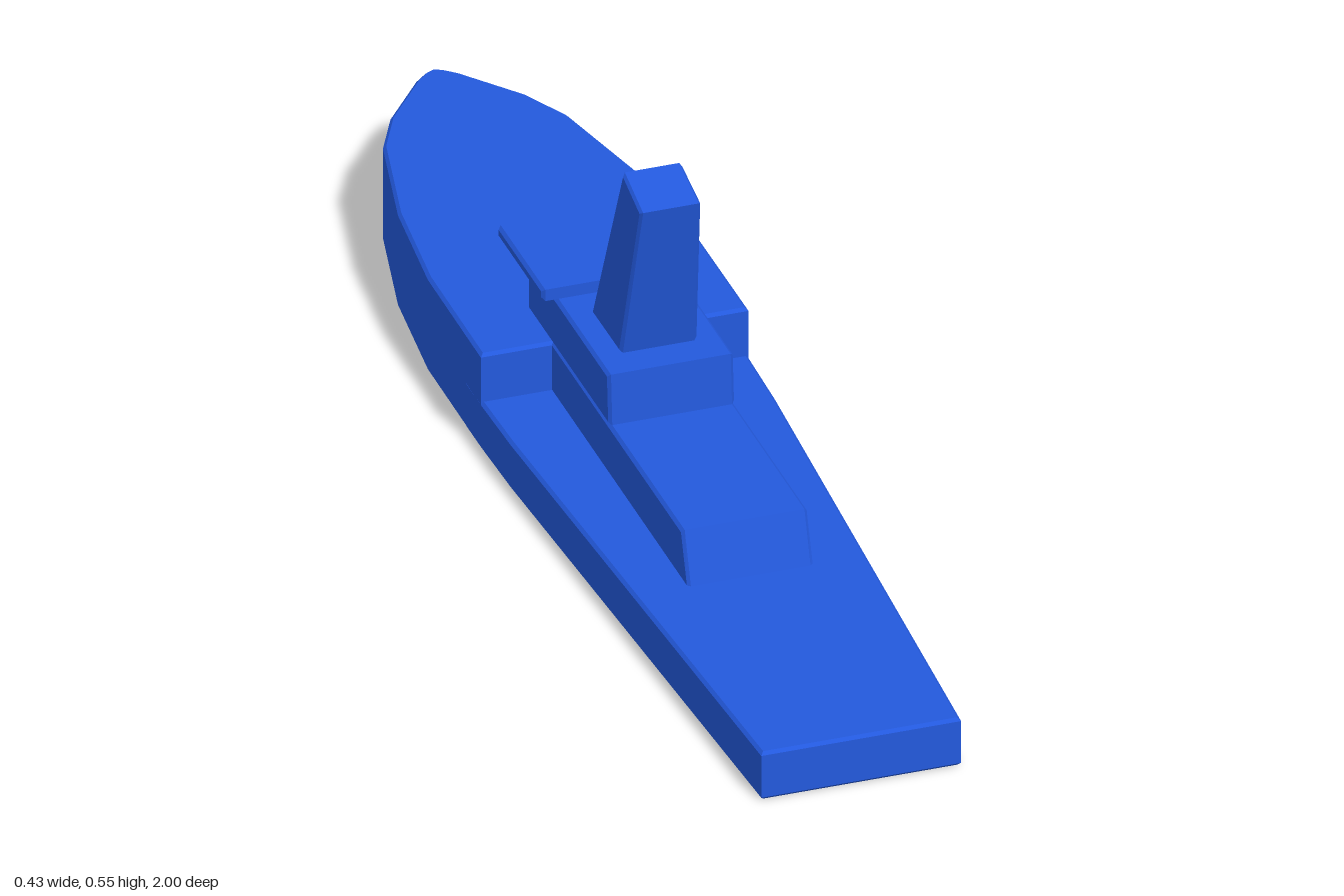
import * as THREE from 'three';
import { toCreasedNormals } from 'three/addons/utils/BufferGeometryUtils.js';

const BEVEL = 0.005;

// Solid with slightly chamfered edges, whose outer size matches the outline and depth
function slab(points, depth) {
  const shape = new THREE.Shape(points.map(([a, b]) => new THREE.Vector2(a, b)));
  const geo = new THREE.ExtrudeGeometry(shape, {
    depth: depth - 2 * BEVEL, bevelEnabled: true, bevelSegments: 1,
    bevelSize: BEVEL, bevelThickness: BEVEL, bevelOffset: -BEVEL,
  });
  return geo.translate(0, 0, BEVEL);
}

// Deck plan given as [half width, z] from bow to stern, mirrored and raised upwards
function deckPlan(half, height) {
  const right = half.map(([x, z]) => [x, -z]);
  const left = half.filter(([x]) => x > 0).map(([x, z]) => [-x, -z]).reverse();
  const geo = slab([...right, ...left], height).rotateX(-Math.PI / 2);
  return toCreasedNormals(geo, 0.5);
}

// Side profile given as [z, y], extruded symmetrically across x
function sideProfile(points, width) {
  return slab(points, width).translate(0, 0, -width / 2).rotateY(-Math.PI / 2);
}

export function createModel() {
  const group = new THREE.Group();
  const hullBlue = new THREE.MeshStandardMaterial({ color: 0x2359dd });
  hullBlue.name = 'hullBlue';

  const add = (name, geometry) => {
    const mesh = new THREE.Mesh(geometry, hullBlue);
    mesh.name = name;
    group.add(mesh);
  };

  // Tall bow section with raised foredeck
  add('bowHull', deckPlan([
    [0, -1], [0.015, -0.993], [0.035, -0.975], [0.11, -0.88], [0.15, -0.8],
    [0.195, -0.6], [0.216, -0.4], [0.217, -0.15],
  ], 0.168));

  // Low aft section narrowing to a square stern
  add('aftHull', deckPlan([
    [0.217, -0.22], [0.217, -0.15], [0.214, -0.02], [0.162, 1],
  ], 0.084));

  // Superstructure
  add('deckhouse', sideProfile([
    [-0.16, 0.08], [0.486, 0.08], [0.456, 0.168], [-0.16, 0.168],
  ], 0.204));
  add('bridge', sideProfile([
    [-0.262, 0.167], [0.118, 0.167], [0.112, 0.254], [-0.262, 0.254],
  ], 0.204));
  add('bridgeRoof', sideProfile([
    [-0.34, 0.255], [-0.131, 0.255], [-0.131, 0.275], [-0.34, 0.275],
  ], 0.248));

  // Raked funnel, narrowing towards its top
  const funnel = sideProfile([
    [-0.077, 0.254], [0.055, 0.254], [0.113, 0.531], [0.024, 0.554],
  ], 0.126);
  const pos = funnel.attributes.position;
  for (let i = 0; i < pos.count; i++) {
    const t = (pos.getY(i) - 0.254) / 0.3;
    pos.setX(i, pos.getX(i) * (1 - 0.24 * t));
  }
  funnel.computeVertexNormals();
  add('funnel', funnel);

  return group;
}
